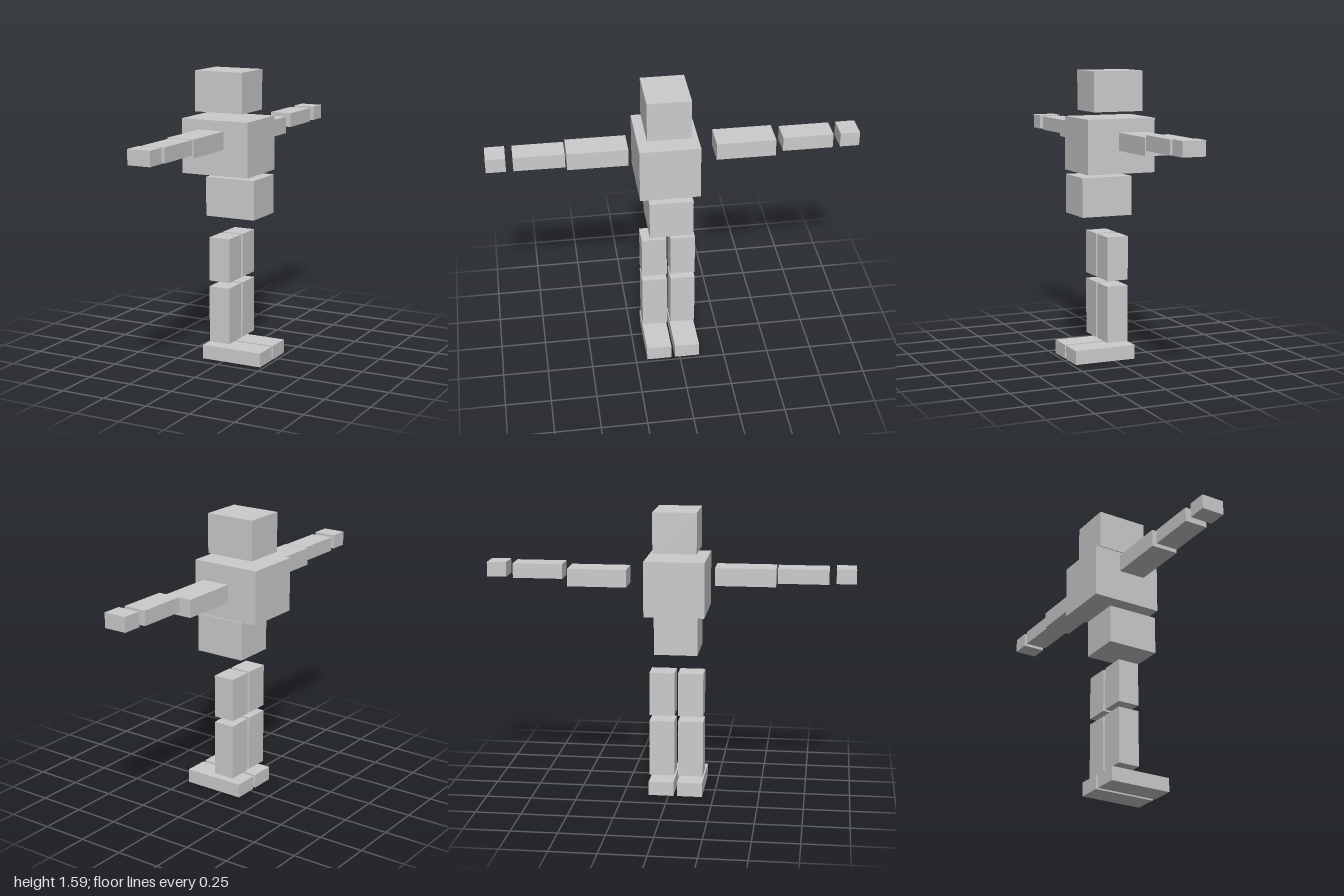
import * as THREE from 'three';

export function createModel() {
  const model = new THREE.Group();
  model.name = 'blockFigure';
  const material = new THREE.MeshStandardMaterial({ color: 0xcccccc, flatShading: true });

  // Adds a box spanning [min, max] on each axis
  function block(name, x, y, z, parent = model) {
    const spans = [x, y, z];
    const mesh = new THREE.Mesh(
      new THREE.BoxGeometry(...spans.map(([a, b]) => b - a)), material);
    mesh.position.set(...spans.map(([a, b]) => (a + b) / 2));
    mesh.name = name;
    parent.add(mesh);
  }

  function limb(name) {
    const group = new THREE.Group();
    group.name = name;
    model.add(group);
    return group;
  }

  // Head and trunk; the figure's toes point along +x
  block('head', [-0.18, 0.105], [1.37, 1.59], [-0.078, 0.158]);
  block('chest', [-0.235, 0.16], [1.037, 1.335], [-0.12, 0.205]);
  block('hips', [-0.115, 0.175], [0.803, 1.018], [-0.08, 0.157]);

  // Legs, one on each side along z
  for (const [name, z] of [['nearLeg', [0.048, 0.187]], ['farLeg', [-0.11, 0.028]]]) {
    const leg = limb(name);
    block('thigh', [-0.08, 0.042], [0.45, 0.692], z, leg);
    block('shin', [-0.08, 0.042], [0.105, 0.418], z, leg);
    block('foot', [-0.123, 0.23], [0.003, 0.081].map((v) => v - 0.003), z, leg);
  }

  // Arms stretched out along z; the far upper arm sits slightly lower
  const nearArm = limb('nearArm');
  block('upperArm', [-0.11, 0.042], [1.19, 1.287], [0.249, 0.575], nearArm);
  const farArm = limb('farArm');
  block('upperArm', [-0.132, 0.026], [1.174, 1.27], [-0.548, -0.226], farArm);
  for (const [arm, s] of [[nearArm, 1], [farArm, -1]]) {
    const span = (a, b) => (s > 0 ? [a, b] : [-b, -a]);
    block('forearm', [-0.09, 0.038], [1.206, 1.286], span(0.583, 0.856), arm);
    block('hand', [-0.085, 0.043], [1.21, 1.29], span(0.894, 1), arm);
  }
  return model;
}
